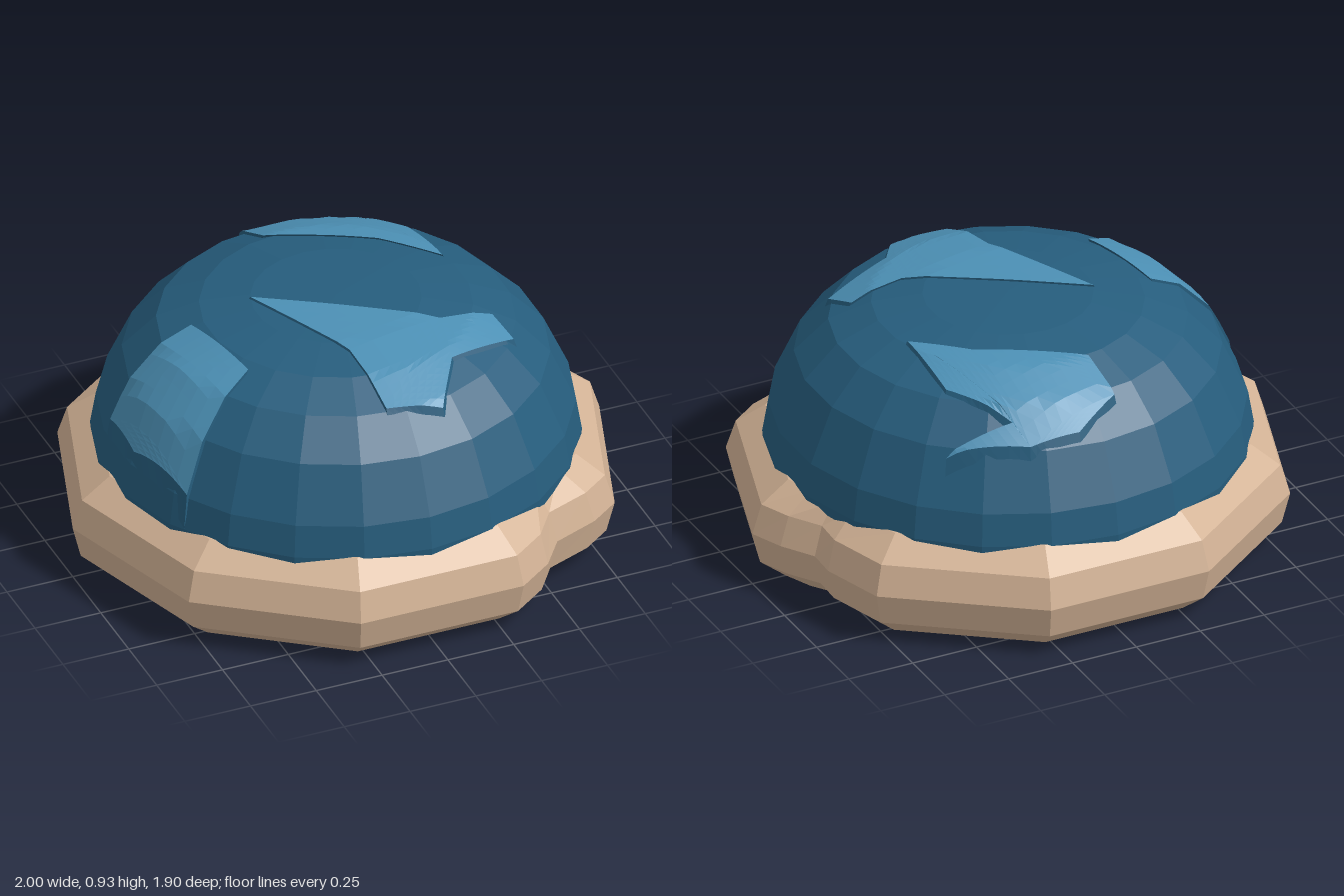
import * as THREE from 'three';

const mat = (name, color, side = THREE.FrontSide) => {
  const m = new THREE.MeshStandardMaterial({ color, side, flatShading: true });
  m.name = name;
  return m;
};

// Dome outline as [radius, height], bottom to top
const DOME = [[0.855, 0.27], [0.86, 0.38], [0.84, 0.5], [0.75, 0.7], [0.63, 0.825],
  [0.48, 0.89], [0.3, 0.918], [0, 0.923]];

// Height of the dome surface above a point of the ground plan
function domeHeight(x, z) {
  const r = Math.min(Math.hypot(x, z), 0.859);
  for (let i = 1; i < DOME.length - 1; i++) {
    const [r0, y0] = DOME[i], [r1, y1] = DOME[i + 1];
    if (r >= r1) return y0 + (y1 - y0) * (r0 - r) / (r0 - r1);
  }
  return DOME[DOME.length - 1][1];
}

function onDome(x, z, lift) {
  const y = domeHeight(x, z);
  return new THREE.Vector3(x * lift, 0.3 + (y - 0.3) * lift, z * lift);
}

function meshFrom(name, points, material) {
  const g = new THREE.BufferGeometry().setFromPoints(points);
  g.computeVertexNormals();
  const m = new THREE.Mesh(g, material);
  m.name = name;
  return m;
}

// Raised plate that follows the dome, from an outline in x and z
function plate(name, outline, topMat, wallMat) {
  const group = new THREE.Group();
  group.name = name;
  const pts = outline.map(([x, z]) => new THREE.Vector2(x, z));
  const lift = 1.012, top = [], wall = [];
  const split = (a, b, c, level) => {
    if (level === 0) {
      const up = (b.x - a.x) * (c.y - a.y) - (b.y - a.y) * (c.x - a.x) < 0;
      for (const p of up ? [a, b, c] : [a, c, b]) top.push(onDome(p.x, p.y, lift));
      return;
    }
    const mid = (p, q) => p.clone().add(q).multiplyScalar(0.5);
    const ab = mid(a, b), bc = mid(b, c), ca = mid(c, a);
    for (const t of [[a, ab, ca], [ab, b, bc], [ca, bc, c], [ab, bc, ca]]) split(...t, level - 1);
  };
  for (const [i, j, k] of THREE.ShapeUtils.triangulateShape(pts, [])) split(pts[i], pts[j], pts[k], 3);
  // Sloping wall around the edge
  const steps = 8;
  pts.forEach((p, i) => {
    const q = pts[(i + 1) % pts.length];
    for (let s = 0; s < steps; s++) {
      const a = p.clone().lerp(q, s / steps), b = p.clone().lerp(q, (s + 1) / steps);
      const at = onDome(a.x, a.y, lift), bt = onDome(b.x, b.y, lift);
      const ab = onDome(a.x * 1.035, a.y * 1.035, 0.995), bb = onDome(b.x * 1.035, b.y * 1.035, 0.995);
      wall.push(at, ab, bt, bt, ab, bb);
    }
  });
  group.add(meshFrom('plateTop', top, topMat), meshFrom('plateWall', wall, wallMat));
  return group;
}

// Ten-sided ring with two dents in its outer side
function ring(material) {
  const profile = [[0.74, 0], [0.87, 0], [0.97, 0.08], [1, 0.2], [0.965, 0.31], [0.86, 0.385],
    [0.74, 0.4], [0.65, 0.31], [0.62, 0.2], [0.65, 0.08]];
  const columns = [];
  for (let i = 0; i < 10; i++) columns.push([i * 36, 0]);
  columns.push([43.7, 0], [54.4, 0.045], [62.6, 0], [338.3, 0.006], [344.8, 0.045], [352.8, 0.01]);
  columns.sort((a, b) => a[0] - b[0]);
  const rows = columns.map(([deg, dent]) => {
    const a = THREE.MathUtils.degToRad(deg);
    const off = THREE.MathUtils.degToRad((deg % 36) - 18);
    const chord = Math.cos(Math.PI / 10) / Math.cos(off);
    return profile.map(([r, y]) => {
      const rr = r * chord - (r > 0.8 && y < 0.35 ? dent : 0);
      return new THREE.Vector3(rr * Math.cos(a), y, rr * Math.sin(a));
    });
  });
  const tris = [];
  rows.forEach((row, i) => {
    const next = rows[(i + 1) % rows.length];
    row.forEach((p, j) => {
      const k = (j + 1) % row.length;
      tris.push(p, row[k], next[j], next[j], row[k], next[k]);
    });
  });
  return meshFrom('baseRing', tris, material);
}

export function createModel() {
  const model = new THREE.Group();
  model.name = 'domedCap';
  const blue = mat('deepBlue', 0x265d7d, THREE.DoubleSide);
  const light = mat('lightBlue', 0x4c90b5, THREE.DoubleSide);
  const tan = mat('tan', 0xd2b295);

  // Dome
  const dome = new THREE.Mesh(
    new THREE.LatheGeometry(DOME.map(([r, y]) => new THREE.Vector2(r, y)), 22), blue);
  dome.name = 'dome';

  // Shallow ceiling inside the ring
  const lining = new THREE.Mesh(new THREE.ConeGeometry(0.7, 0.26, 14, 1, true), blue);
  lining.name = 'innerLining';
  lining.position.y = 0.25;

  model.add(ring(tan), dome, lining);

  // Raised light plates
  model.add(
    plate('backPlate', [[-0.07, -0.48], [-0.09, -0.64], [0.08, -0.71], [0.26, -0.69], [0.52, -0.56],
      [0.29, -0.61], [0.44, -0.4], [0.45, -0.12], [0.28, -0.29]], light, blue),
    plate('rightPlate', [[-0.81, -0.09], [-0.51, -0.08], [-0.44, 0.26], [-0.73, 0.4], [-0.81, 0.12]], light, blue),
    plate('frontPlate', [[-0.28, -0.1], [0.28, 0.26], [0.48, 0.25], [0.51, 0.37], [0.24, 0.46],
      [0.13, 0.64], [-0.07, 0.61], [-0.09, 0.33]], light, blue));
  return model;
}
